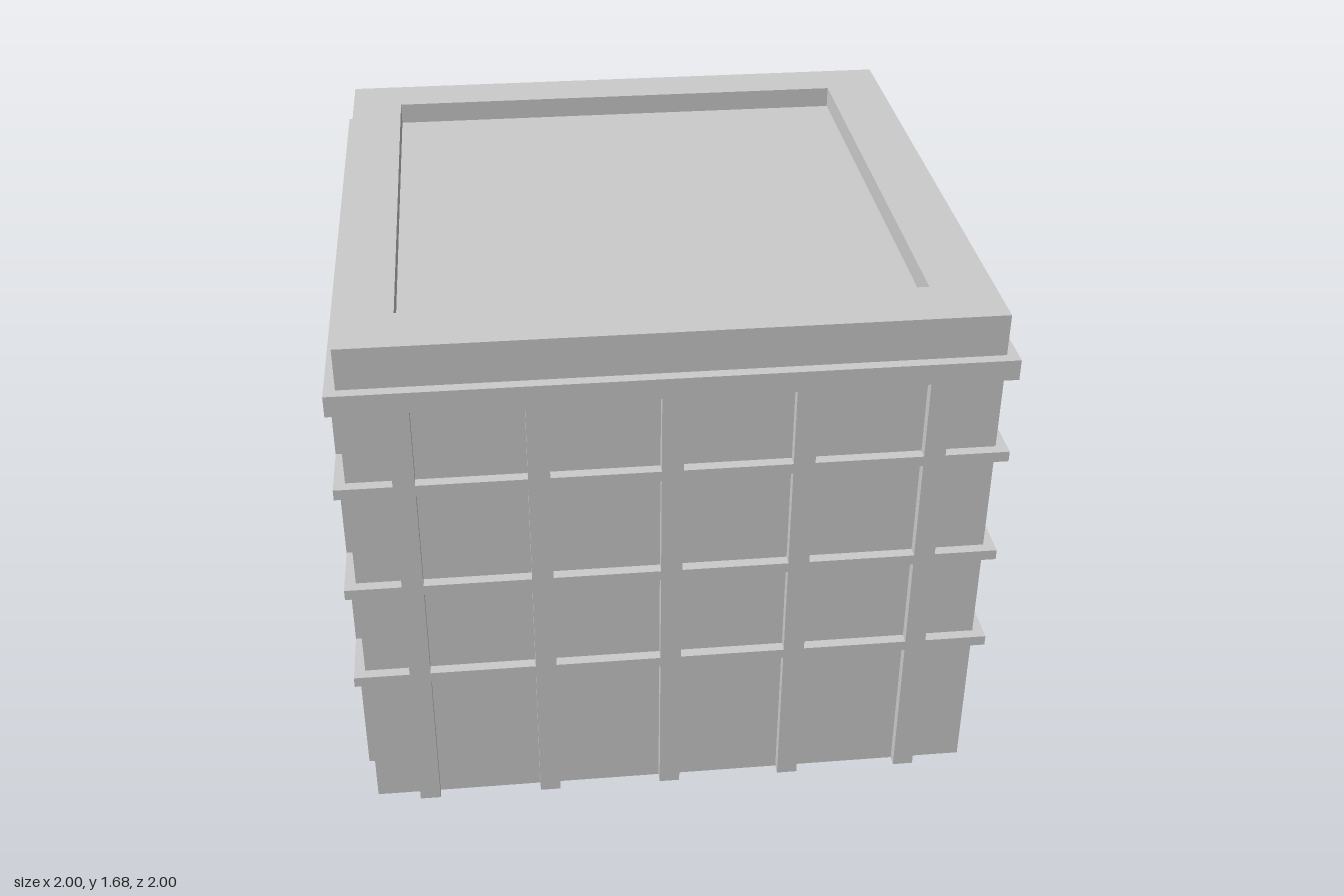
import * as THREE from 'three';

const material = new THREE.MeshStandardMaterial({ color: 0xcccccc, flatShading: true, side: THREE.DoubleSide });
const WALL = 0.966, OUT = 1, IN = 0.932;

function add(parent, geometry, name, x = 0, y = 0, z = 0) {
  const mesh = new THREE.Mesh(geometry, material);
  mesh.name = name;
  mesh.position.set(x, y, z);
  parent.add(mesh);
  return mesh;
}

// Open-bottomed shell lofted through square loops: [half width, centre offset, height]
function shellGeometry(loops) {
  const corners = [[-1, 1], [1, 1], [1, -1], [-1, -1]];
  const positions = [];
  const point = ([half, offset, y], i) => {
    const [x, z] = corners[i % 4];
    return [x * half + offset, y, z * half + offset];
  };
  for (let k = 0; k < loops.length - 1; k++) {
    for (let i = 0; i < 4; i++) {
      const a = point(loops[k], i), b = point(loops[k], i + 1);
      const c = point(loops[k + 1], i + 1), d = point(loops[k + 1], i);
      positions.push(...a, ...b, ...c, ...a, ...c, ...d);
    }
  }
  const geometry = new THREE.BufferGeometry();
  geometry.setAttribute('position', new THREE.Float32BufferAttribute(positions, 3));
  geometry.computeVertexNormals();
  return geometry;
}

function square(target, half) {
  target.moveTo(-half, -half);
  target.lineTo(half, -half);
  target.lineTo(half, half);
  target.lineTo(-half, half);
  target.closePath();
  return target;
}

// Horizontal square ring that straddles the walls
function bandGeometry(height) {
  const shape = square(new THREE.Shape(), OUT);
  shape.holes.push(square(new THREE.Path(), IN));
  return new THREE.ExtrudeGeometry(shape, { depth: height, bevelEnabled: false }).rotateX(-Math.PI / 2);
}

export function createModel() {
  const model = new THREE.Group();
  model.name = 'building';

  // Walls, parapet rim, and sunken roof
  add(model, shellGeometry([[WALL, 0, 0], [WALL, 0, 1.68], [0.784, -0.012, 1.68], [0.784, -0.012, 1.61]]), 'wallsAndParapet');
  add(model, new THREE.PlaneGeometry(1.568, 1.568).rotateX(-Math.PI / 2), 'roof', -0.012, 1.61, -0.012);

  // Horizontal bands: [bottom, height]
  const bands = new THREE.Group();
  bands.name = 'bands';
  model.add(bands);
  for (const [y, height] of [[0.492, 0.034], [0.833, 0.034], [1.198, 0.034], [1.482, 0.066]]) {
    add(bands, bandGeometry(height), 'band', 0, y, 0);
  }

  // Vertical ribs, five on each wall
  const ribs = new THREE.Group();
  ribs.name = 'ribs';
  model.add(ribs);
  const width = 0.065, height = 1.5, depth = OUT - IN;
  const ribX = new THREE.BoxGeometry(width, height, depth);
  const ribZ = new THREE.BoxGeometry(depth, height, width);
  for (let i = 0; i < 5; i++) {
    const along = -0.796 + i * 0.392;
    for (const side of [-1, 1]) {
      add(ribs, ribX, 'rib', along, height / 2, side * WALL);
      add(ribs, ribZ, 'rib', side * WALL, height / 2, along + 0.003);
    }
  }
  return model;
}
